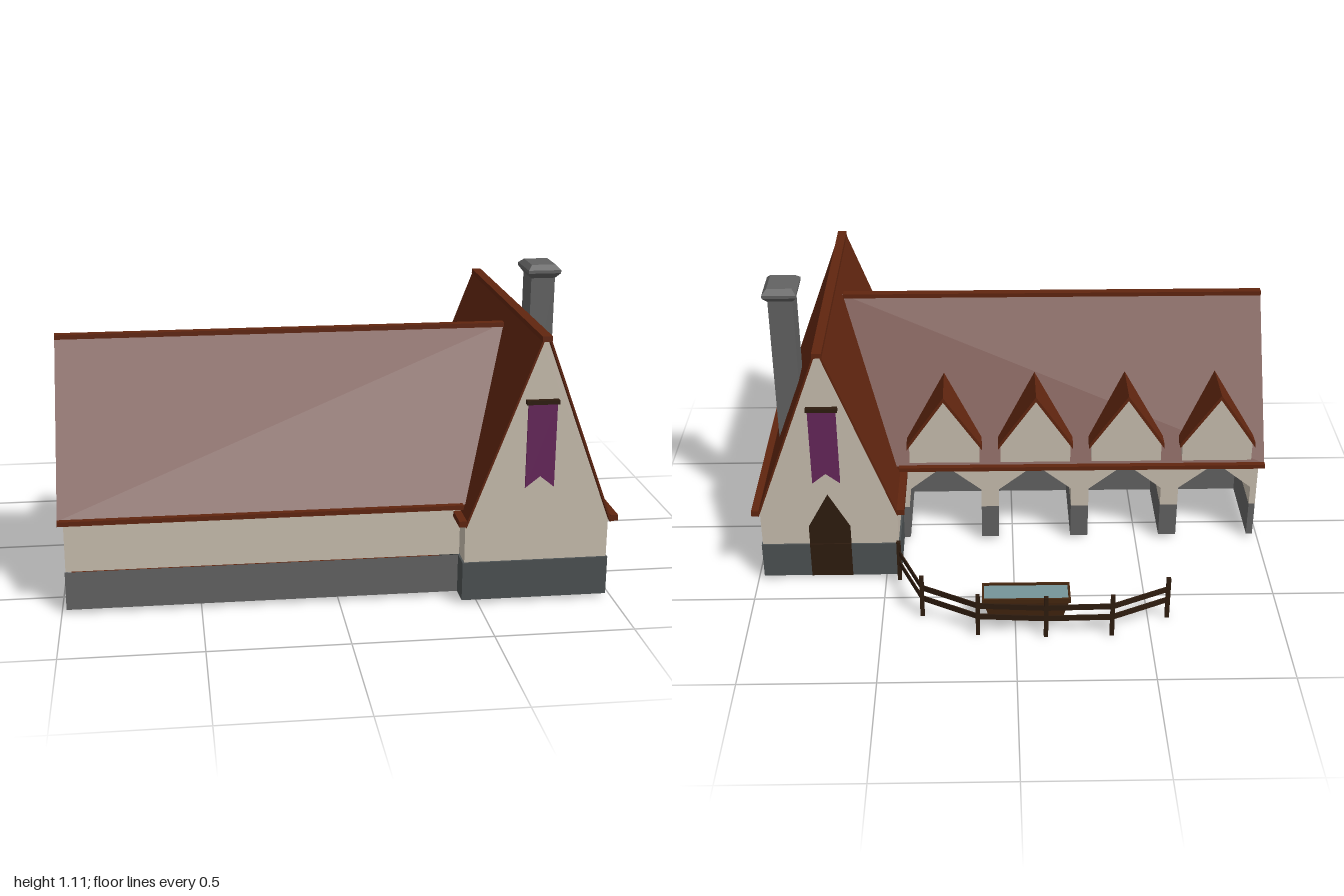
import * as THREE from 'three';
import { ConvexGeometry } from 'three/addons/geometries/ConvexGeometry.js';

const mat = (color, side = THREE.FrontSide) => new THREE.MeshStandardMaterial({ color, side, flatShading: true });
const ROOF = mat(0x60250f), PLASTER = mat(0xc8bdae, THREE.FrontSide), STONE = mat(0x626262), DARK_STONE = mat(0x4c5152);
const WOOD = mat(0x2e1c0f), TROUGH = mat(0x45260f), WATER = mat(0x759599), CLOTH = mat(0x66265a, THREE.DoubleSide);
const FLOOR = mat(0x60250f, THREE.DoubleSide);

const V = (x, y, z) => new THREE.Vector3(x, y, z);

export function createModel() {
  const model = new THREE.Group();

  const add = (name, geometry, material, parent = model) => {
    const m = new THREE.Mesh(geometry, material);
    m.name = name;
    parent.add(m);
    return m;
  };
  const group = (name) => {
    const g = new THREE.Group();
    g.name = name;
    model.add(g);
    return g;
  };
  // Box given by its limits on each axis
  const box = (name, [x0, x1], [y0, y1], [z0, z1], material, parent) => {
    const m = add(name, new THREE.BoxGeometry(x1 - x0, y1 - y0, z1 - z0), material, parent);
    m.position.set((x0 + x1) / 2, (y0 + y1) / 2, (z0 + z1) / 2);
    return m;
  };
  // One-sided convex panel, corners counter-clockwise
  const panel = (name, pts, material, parent) => {
    const tris = [];
    for (let i = 1; i < pts.length - 1; i++) tris.push(pts[0], pts[i], pts[i + 1]);
    const g = new THREE.BufferGeometry().setFromPoints(tris.map((p) => V(...p)));
    g.computeVertexNormals();
    return add(name, g, material, parent);
  };
  // Sloped slab with a vertical thickness
  const slab = (name, pts, t, material, parent) =>
    add(name, new ConvexGeometry(pts.flatMap((p) => [V(...p), V(p[0], p[1] - t, p[2])])), material, parent);
  // Outline in xy extruded from z0 to z1
  const prism = (name, pts, z0, z1, material, parent) => {
    const shape = new THREE.Shape(pts.map((p) => new THREE.Vector2(...p)));
    const g = new THREE.ExtrudeGeometry(shape, { depth: z1 - z0, bevelEnabled: false });
    g.translate(0, 0, z0);
    return add(name, g, material, parent);
  };

  // ---- Hall: gabled cross wing ----
  const hall = group('hall');
  const cx = 0.71;
  prism('hallWalls', [[0.447, 0.13], [0.973, 0.13], [0.973, 0.306], [cx + 0.013, 0.98], [cx - 0.013, 0.98], [0.447, 0.306]], -0.36, 0.72, PLASTER, hall);
  box('hallBaseLeft', [0.966, 0.977], [0.015, 0.16], [-0.367, 0.728], DARK_STONE, hall);
  box('hallBaseRight', [0.44, 0.451], [0.015, 0.16], [-0.367, 0.728], DARK_STONE, hall);
  box('hallBaseFront', [0.451, 0.966], [0.015, 0.16], [0.717, 0.728], DARK_STONE, hall);
  box('hallBaseBack', [0.451, 0.966], [0.015, 0.16], [-0.367, -0.356], DARK_STONE, hall);
  box('innerStoneWall', [0.451, 0.457], [0.015, 0.14], [-0.11, 0.64], STONE, hall);
  box('innerCeiling', [0.457, 0.69], [0.122, 0.14], [-0.11, 0.64], STONE, hall);
  for (const s of [-1, 1]) {
    const eave = cx + s * 0.264, ridge = cx + s * 0.012;
    slab('hallRoof', [[eave, 0.322, -0.387], [ridge, 0.998, -0.387], [ridge, 0.998, 0.746], [eave, 0.322, 0.746]], 0.02, ROOF, hall);
    const x = cx + s * 0.277;
    box('hallEaveBeam', [x - 0.014, x + 0.014], [0.308, 0.33], [-0.39, 0.748], ROOF, hall);
  }
  box('hallRidgeBeam', [cx - 0.018, cx + 0.018], [0.983, 1.002], [-0.39, 0.748], ROOF, hall);
  prism('door', [[cx - 0.08, 0.015], [cx + 0.08, 0.015], [cx + 0.08, 0.24], [cx, 0.385], [cx - 0.08, 0.24]], -0.363, -0.352, WOOD, hall);
  box('doorFoot', [cx - 0.08, cx + 0.08], [0.015, 0.162], [-0.369, -0.352], WOOD, hall);

  // Banners on both gables
  for (const z of [0.73, -0.37]) {
    const banner = [[0.657, 0.443], [cx, 0.485], [0.762, 0.443], [0.762, 0.76], [0.657, 0.76]];
    prism('banner', banner, z - 0.003, z + 0.003, CLOTH, hall);
    box('bannerRod', [0.65, 0.768], [0.753, 0.768], [z - 0.01, z + 0.01], WOOD, hall);
  }

  // Chimney with a flared cap
  const chimney = group('chimney');
  const chX = 0.874;
  box('chimneyStack', [chX - 0.047, chX + 0.047], [0.455, 1.06], [-0.062, 0.062], STONE, chimney);
  const capRings = [[1.055, 0.047, 0.062], [1.078, 0.064, 0.086], [1.09, 0.064, 0.086], [1.108, 0.047, 0.062]];
  add('chimneyCap', new ConvexGeometry(capRings.flatMap(([y, a, b]) =>
    [[-1, -1], [1, -1], [1, 1], [-1, 1]].map(([i, j]) => V(chX + i * a, y, j * b)))), STONE, chimney);

  // ---- Stable: long wing with open stalls at the back ----
  const stable = group('stable');
  const L = -0.98, R = 0.445, zB = -0.11, zF = 0.64, zR = 0.265;
  panel('frontWall', [[L, 0.16, zF], [R, 0.16, zF], [R, 0.355, zF], [L, 0.355, zF]], PLASTER, stable);
  panel('frontBase', [[L - 0.003, 0.015, zF + 0.006], [R, 0.015, zF + 0.006], [R, 0.16, zF + 0.006], [L - 0.003, 0.16, zF + 0.006]], STONE, stable);
  panel('endGable', [[L, 0.16, zB], [L, 0.16, zF], [L, 0.355, zF], [L, 0.915, zR], [L, 0.355, zB]], PLASTER, stable);
  panel('endBase', [[L - 0.003, 0.015, zB], [L - 0.003, 0.015, zF + 0.006], [L - 0.003, 0.16, zF + 0.006], [L - 0.003, 0.16, zB]], STONE, stable);

  for (const [zEave, zBeam] of [[-0.12, -0.128], [0.652, 0.66]]) {
    slab('stableRoof', [[-1, 0.358, zEave], [0.467, 0.358, zEave], [0.678, 0.932, zR], [-1, 0.932, zR]], 0.013, ROOF, stable);
    box('stableEaveBeam', [-1, 0.45], [0.345, 0.362], [zBeam - 0.012, zBeam + 0.012], ROOF, stable);
  }
  box('stableRidgeBeam', [-1, 0.67], [0.92, 0.937], [zR - 0.016, zR + 0.016], ROOF, stable);

  // Stalls, each below its own dormer
  const half = 0.145, zIn = 0.23, top = 0.37;
  const back = (name, pts, z, material) => panel(name, pts.map(([x, y]) => [x, y, z]).reverse(), material, stable);
  const rect = (x0, x1, y0, y1) => [[x0, y0], [x1, y0], [x1, y1], [x0, y1]];
  panel('stableFloor', [[L, 0.016, zIn], [R, 0.016, zIn], [R, 0.016, zF], [L, 0.016, zF]], FLOOR, stable);
  let legStart = L;
  const leg = (x0, x1) => {
    back('stallPost', rect(x0, x1, 0.16, top), zB, PLASTER);
    back('stallPostBase', rect(x0, x1, 0.015, 0.16), zB, STONE);
  };
  for (let i = 0; i < 4; i++) {
    const c = -0.81 + i * 0.36, x0 = c - half, x1 = c + half;
    leg(legStart, x0);
    legStart = x1;
    back('stallSpandrel', [[x0, 0.24], [c, 0.355], [c, top], [x0, top]], zB, PLASTER);
    back('stallSpandrel', [[c, 0.355], [x1, 0.24], [x1, top], [c, top]], zB, PLASTER);
    back('stallBackWall', [[x0, 0.16], [x1, 0.16], [x1, 0.24], [c, 0.355], [x0, 0.24]], zIn, PLASTER);
    back('stallBackBase', rect(x0, x1, 0.015, 0.16), zIn, STONE);
    // Sides and peaked ceiling swept along the opening outline
    const outline = [[x0, 0.015], [x0, 0.16], [x0, 0.24], [c, 0.355], [x1, 0.24], [x1, 0.16], [x1, 0.015]];
    for (let k = 0; k < 6; k++) {
      const p = outline[k], q = outline[k + 1];
      panel('stallLining', [[...p, zB], [...q, zB], [...q, zIn], [...p, zIn]], k % 5 ? PLASTER : STONE, stable);
    }
    // Dormer
    prism('dormerWall', [[c - 0.138, 0.355], [c + 0.138, 0.355], [c + 0.138, 0.45], [c, 0.648], [c - 0.138, 0.45]], -0.112, -0.01, PLASTER, stable);
    for (const s of [-1, 1]) {
      slab('dormerRoof', [[c + s * 0.148, 0.452, -0.122], [c, 0.667, -0.122], [c, 0.667, 0.088], [c + s * 0.148, 0.452, -0.056]], 0.02, ROOF, stable);
    }
  }
  leg(legStart, R);

  // ---- Paddock fence ----
  const fence = group('fence');
  const posts = [[-0.573, -0.635], [-0.357, -0.738], [-0.112, -0.743], [0.14, -0.726], [0.35, -0.61], [0.447, -0.378]];
  posts.forEach(([x, z], i) => {
    box('fencePost', [x - 0.008, x + 0.008], [0, 0.177], [z - 0.008, z + 0.008], WOOD, fence);
    if (!i) return;
    const [px, pz] = posts[i - 1];
    for (const y of [0.08, 0.128]) {
      const rail = add('fenceRail', new THREE.BoxGeometry(0.005, 0.023, Math.hypot(x - px, z - pz)), WOOD, fence);
      rail.position.set((x + px) / 2, y, (z + pz) / 2);
      rail.rotation.y = Math.atan2(x - px, z - pz);
    }
  });

  // ---- Water trough, narrower at the bottom ----
  const trough = group('trough');
  const tx = -0.04, tz = -0.64;
  const ring = (y, a, b) => [[-a, -b], [a, -b], [a, b], [-a, b]].map(([x, z]) => V(tx + x, y, tz + z));
  add('troughBody', new ConvexGeometry([...ring(0.025, 0.135, 0.036), ...ring(0.118, 0.16, 0.049)]), TROUGH, trough);
  for (const s of [-1, 1]) {
    box('troughRim', [tx - 0.165, tx + 0.165], [0.112, 0.13], [tz + s * 0.049 - 0.004, tz + s * 0.049 + 0.004], TROUGH, trough);
    box('troughRim', [tx + s * 0.161 - 0.004, tx + s * 0.161 + 0.004], [0.112, 0.13], [tz - 0.045, tz + 0.045], TROUGH, trough);
  }
  box('water', [tx - 0.157, tx + 0.157], [0.11, 0.122], [tz - 0.045, tz + 0.045], WATER, trough);

  return model;
}
